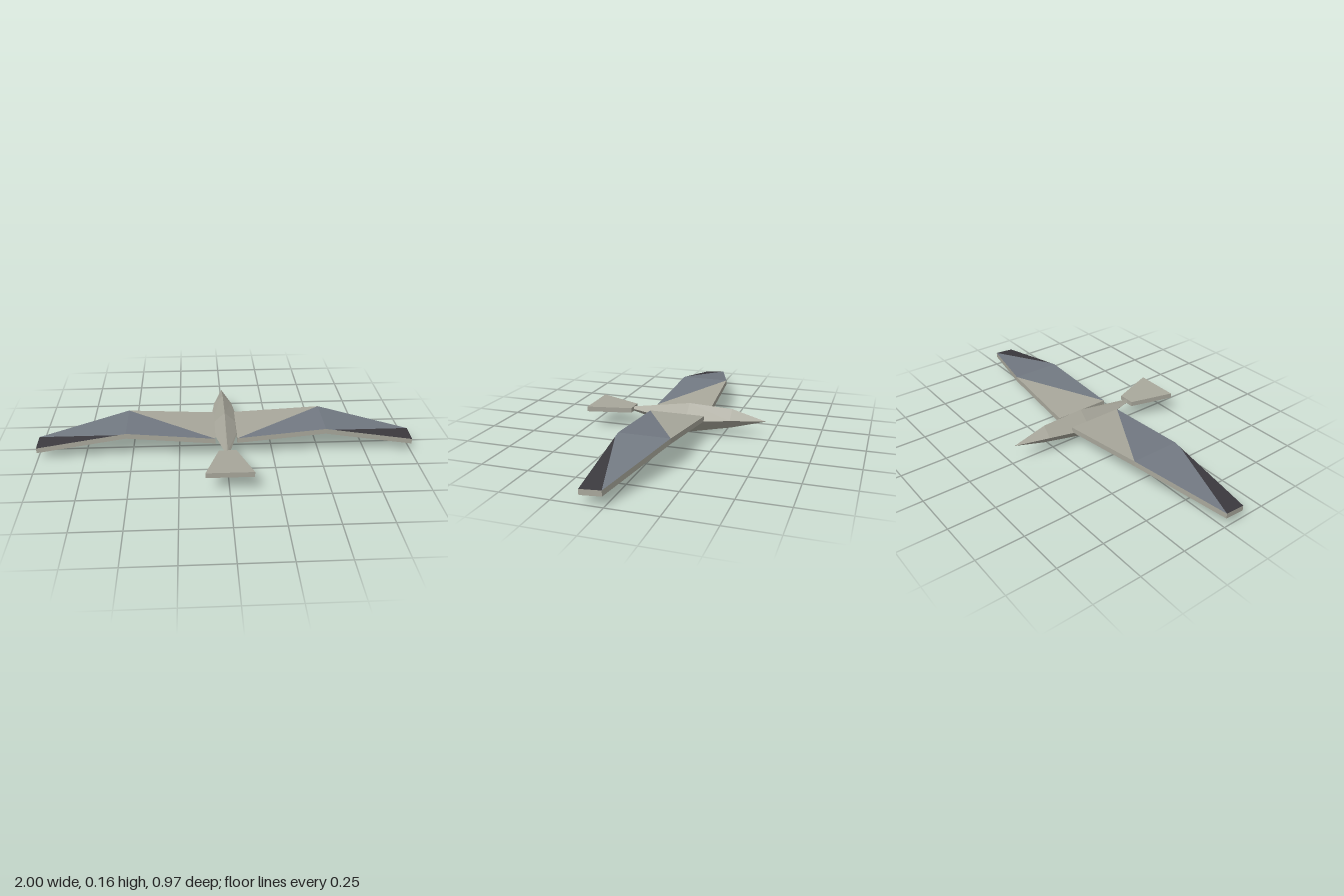
import * as THREE from 'three';

const flat = (name, color) => {
  const m = new THREE.MeshStandardMaterial({ color });
  m.name = name;
  m.flatShading = true;
  return m;
};

// Faceted mesh from polygons (each a convex loop of points, counter-clockwise from outside)
function facets(name, material, polygons, mirror = false) {
  const pos = [];
  const s = mirror ? -1 : 1;
  for (const p of polygons) {
    for (let i = 1; i < p.length - 1; i++) {
      const tri = mirror ? [p[0], p[i + 1], p[i]] : [p[0], p[i], p[i + 1]];
      for (const [x, y, z] of tri) pos.push(s * x, y, z);
    }
  }
  const geo = new THREE.BufferGeometry();
  geo.setAttribute('position', new THREE.Float32BufferAttribute(pos, 3));
  geo.computeVertexNormals();
  const mesh = new THREE.Mesh(geo, material);
  mesh.name = name;
  return mesh;
}

export function createModel() {
  const pale = flat('paleGrey', 0xa8a79b);
  const slate = flat('slateGrey', 0x727982);
  const dark = flat('darkTip', 0x3b393e);
  const bird = new THREE.Group();
  bird.name = 'bird';

  // Body: diamond cross-sections from beak to tail root
  const nose = [0, 0.102, -0.483];
  const rings = [
    // z, half width, top, side height, keel
    [-0.3, 0.05, 0.153, 0.102, 0.05],
    [-0.065, 0.085, 0.163, 0.082, 0],
    [0.26, 0.01, 0.112, 0.1, 0.089],
  ].map(([z, w, top, side, keel]) => [[0, top, z], [-w, side, z], [0, keel, z], [w, side, z]]);
  const body = [];
  for (let i = 0; i < 4; i++) {
    const j = (i + 1) % 4;
    body.push([nose, rings[0][j], rings[0][i]]);
    for (let r = 0; r < 2; r++) {
      body.push([rings[r][i], rings[r][j], rings[r + 1][j], rings[r + 1][i]]);
    }
  }
  body.push(rings[2]);
  bird.add(facets('body', pale, body));

  // Tail: flat fan that widens towards its end
  const tailRing = (w, y0, y1, z) => [[-w, y0, z], [w, y0, z], [w, y1, z], [-w, y1, z]];
  const a = tailRing(0.045, 0.089, 0.115, 0.255);
  const b = tailRing(0.12, 0.098, 0.125, 0.483);
  const tail = [b, [...a].reverse()];
  for (let i = 0; i < 4; i++) {
    const j = (i + 1) % 4;
    tail.push([a[i], a[j], b[j], b[i]]);
  }
  bird.add(facets('tail', pale, tail));

  // Wing stations: root, wrist and tip, each with leading and trailing edges
  const stations = [
    // x, leading z, leading top, trailing z, trailing top
    [0.057, -0.163, 0.117, 0.14, 0.118],
    [0.525, -0.135, 0.155, 0.13, 0.155],
    [1, 0.005, 0.079, 0.113, 0.071],
  ];
  const thick = 0.028;
  const top = stations.map(([x, lz, ly, tz, ty]) => ({ L: [x, ly, lz], T: [x, ty, tz] }));
  const low = stations.map(([x, lz, ly, tz, ty]) => ({ L: [x, ly - thick, lz], T: [x, ty - thick, tz] }));
  const [root, wrist, tip] = top;
  // Point on the trailing edge where the dark tip begins
  const split = wrist.T.map((v, i) => v + (tip.T[i] - v) * 0.08);

  // Underside, edges and end caps
  const shell = [
    [root.T, root.L, low[0].L, low[0].T],
    [tip.L, tip.T, low[2].T, low[2].L],
  ];
  for (let i = 0; i < 2; i++) {
    const j = i + 1;
    shell.push([low[i].T, low[i].L, low[j].L], [low[i].T, low[j].L, low[j].T]);
    shell.push([top[i].L, top[j].L, low[j].L, low[i].L]);
    shell.push([top[j].T, top[i].T, low[i].T, low[j].T]);
  }

  for (const [name, mirror] of [['leftWing', false], ['rightWing', true]]) {
    const wing = new THREE.Group();
    wing.name = name;
    wing.add(
      facets('wingShell', pale, shell, mirror),
      facets('innerPanel', pale, [[root.L, root.T, wrist.L]], mirror),
      facets('middlePanel', slate, [
        [root.T, wrist.T, wrist.L],
        [wrist.L, wrist.T, tip.L],
        [wrist.T, split, tip.L],
      ], mirror),
      facets('tipPanel', dark, [[split, tip.T, tip.L]], mirror),
    );
    bird.add(wing);
  }
  return bird;
}
